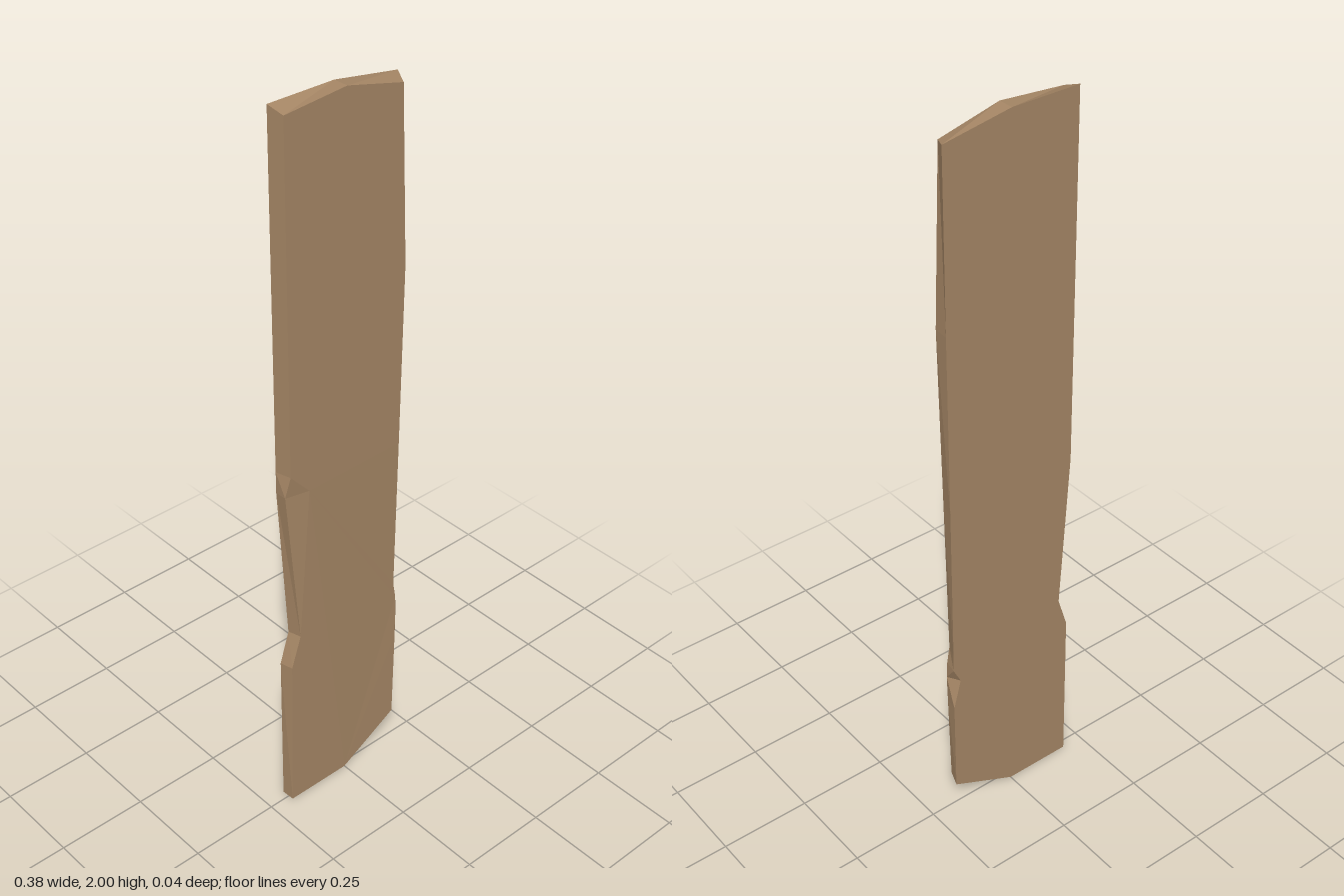
import * as THREE from 'three';

const BACK_Z = -0.021;

// Matched outline, anticlockwise: front x, y, z, then back x, y
const OUTLINE = [
  [0, 0, 0.015, 0, 0],
  [0.175, 0.1, 0.015, 0.186, 0.09],
  [0.181, 0.37, 0.015, 0.187, 0.37],
  [0.185, 0.455, 0.012, 0.165, 0.455], // nick in the back edge
  [0.181, 0.5, 0.014, 0.187, 0.5],
  [0.172, 0.55, 0.015, 0.186, 0.55],
  [0.175, 1.0, 0.021, 0.186, 1.0],
  [0.184, 1.5, 0.021, 0.187, 1.5],
  [0.166, 1.96, 0.021, 0.187, 1.97],
  [0, 2, 0.021, 0, 2],
  [-0.179, 1.985, 0.021, -0.189, 2],
  [-0.178, 1.06, 0.021, -0.189, 1.06],
  [-0.189, 1.0, 0.012, -0.189, 1.0], // chipped corner
  [-0.15, 0.55, 0.015, -0.16, 0.55],
  [-0.18, 0.46, 0.015, -0.188, 0.46],
  [-0.187, 0, 0.015, -0.189, 0],
];

function plankGeometry() {
  const n = OUTLINE.length;
  const front = OUTLINE.map(([x, y, z]) => new THREE.Vector3(x, y, z));
  const back = OUTLINE.map((p) => new THREE.Vector3(p[3], p[4], BACK_Z));
  front.push(new THREE.Vector3(-0.12, 0.995, 0.021)); // inner end of the chip
  const corners = [];

  const cap = (points, flip) => {
    const flat = points.map((p) => new THREE.Vector2(p.x, p.y));
    for (const [a, b, c] of THREE.ShapeUtils.triangulateShape(flat, [])) {
      corners.push(points[a], points[flip ? c : b], points[flip ? b : c]);
    }
  };
  const pick = (ids) => ids.map((i) => front[i]);

  // Front: upper face, chip facet, worn lower face
  cap(pick([16, 6, 7, 8, 9, 10, 11]), false);
  cap(pick([11, 12, 16]), false);
  cap(pick([0, 1, 2, 3, 4, 5, 6, 16, 12, 13, 14, 15]), false);
  cap(back, true);

  // Bevelled edges all round, folded to a point at the nick
  for (let i = 0; i < n; i++) {
    const j = (i + 1) % n;
    const [af, ab, bf, bb] = [front[i], back[i], front[j], back[j]];
    if (i === 3) corners.push(af, ab, bb, af, bb, bf);
    else corners.push(af, ab, bf, ab, bb, bf);
  }

  const geometry = new THREE.BufferGeometry().setFromPoints(corners);
  geometry.computeVertexNormals();
  return geometry;
}

export function createModel() {
  const wood = new THREE.MeshStandardMaterial({ color: 0xa58665 });
  wood.name = 'wood';
  const plank = new THREE.Mesh(plankGeometry(), wood);
  plank.name = 'plank';
  const model = new THREE.Group();
  model.name = 'woodenPlank';
  model.add(plank);
  return model;
}
